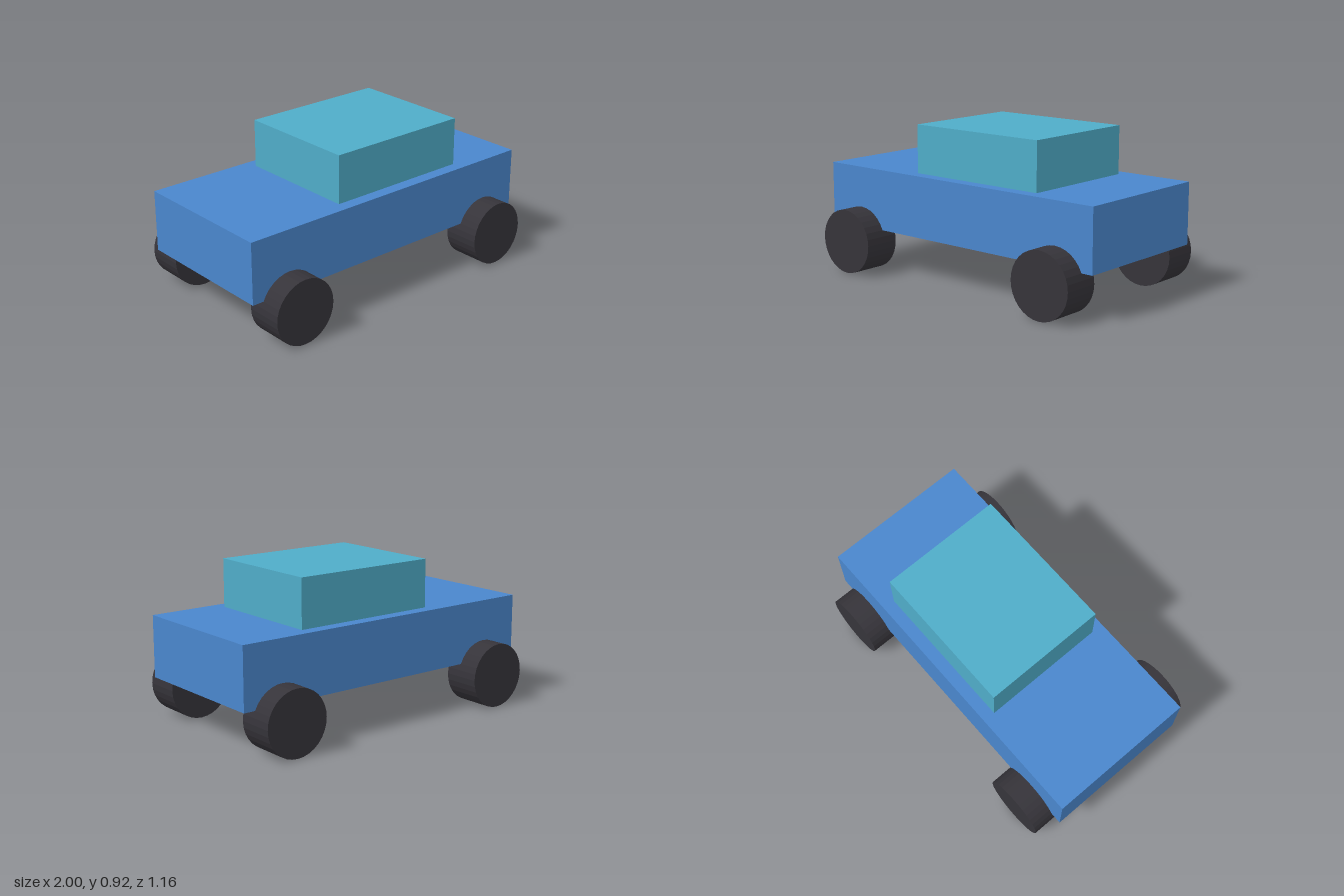
import * as THREE from 'three';

export function createModel() {
  const car = new THREE.Group();
  car.name = 'car';

  const paint = (name, color, flatShading = false) => {
    const material = new THREE.MeshStandardMaterial({ color, flatShading });
    material.name = name;
    return material;
  };
  const bodyBlue = paint('bodyBlue', 0x4a86cc);
  const cabinTeal = paint('cabinTeal', 0x4facc8);
  const tyreBlack = paint('tyreBlack', 0x36343a, true);

  const add = (name, geometry, material, x, y, z) => {
    const mesh = new THREE.Mesh(geometry, material);
    mesh.name = name;
    mesh.position.set(x, y, z);
    car.add(mesh);
  };

  // Body slab and the cabin standing on it, set towards +x
  add('body', new THREE.BoxGeometry(2, 0.366, 0.896), bodyBlue, 0, 0.451, 0);
  add('cabin', new THREE.BoxGeometry(0.9, 0.288, 0.748), cabinTeal, 0.113, 0.778, 0);

  // Four wheels with axles along z, partly sunk into the body
  const wheel = new THREE.CylinderGeometry(0.194, 0.194, 0.225, 32).rotateX(Math.PI / 2);
  for (const [end, x] of [['Left', 0.75], ['Right', -0.75]]) {
    for (const [side, z] of [['front', 0.467], ['back', -0.467]]) {
      add(`${side}${end}Wheel`, wheel, tyreBlack, x, 0.194, z);
    }
  }

  return car;
}
